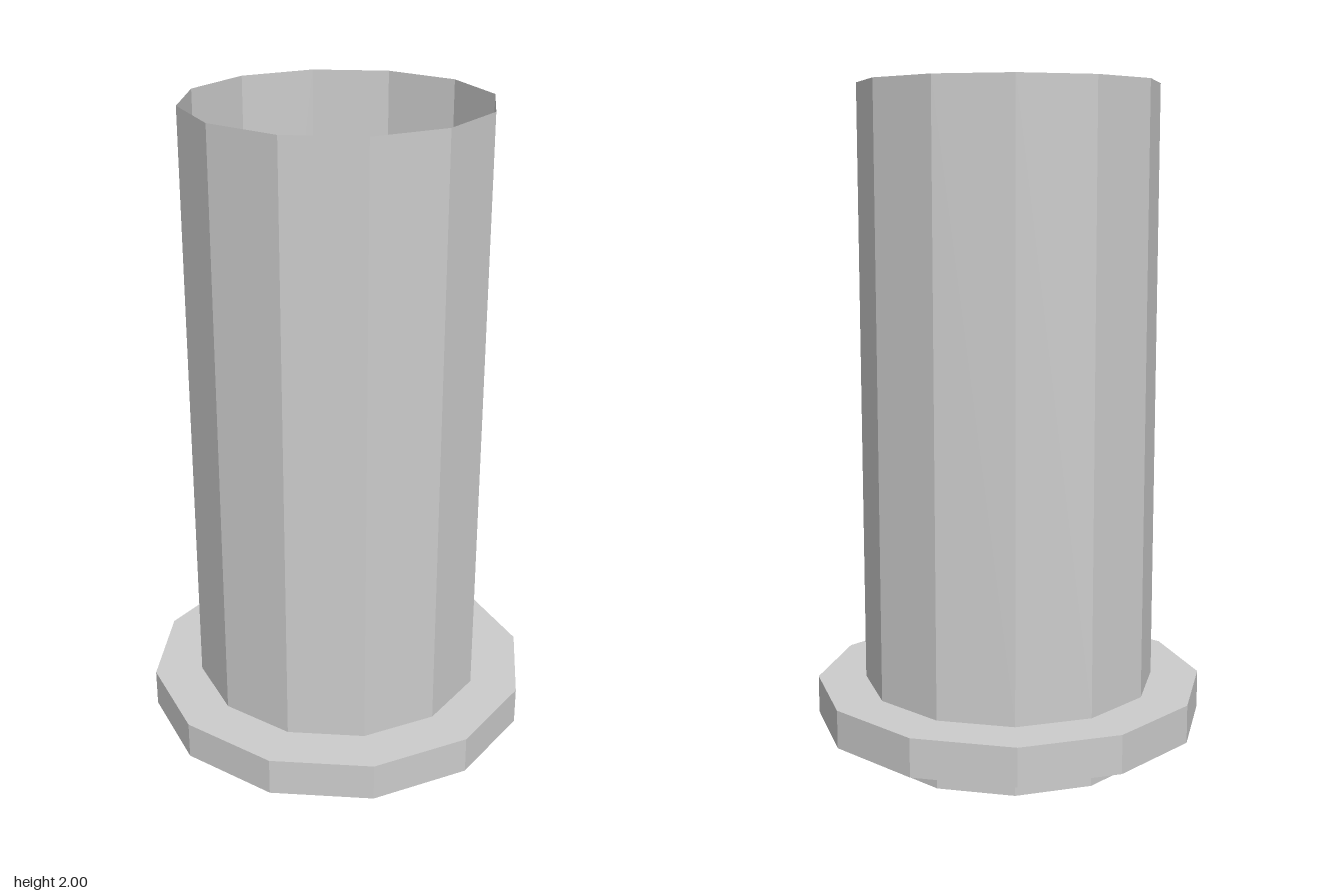
import * as THREE from 'three';

const SIDES = 12;
const TUBE_R = 0.443, FLANGE_R = 0.59;
const FLANGE_BOTTOM = 0.09, FLANGE_TOP = 0.205, HEIGHT = 2;

const grey = new THREE.MeshStandardMaterial({ color: 0xcccccc, flatShading: true, side: THREE.DoubleSide });
grey.name = 'lightGrey';

// Faceted open shell revolved from a [radius, height] profile
function shell(name, profile) {
  const points = profile.map(([r, y]) => new THREE.Vector2(r, y));
  const geometry = new THREE.LatheGeometry(points, SIDES).toNonIndexed();
  geometry.computeVertexNormals();
  const mesh = new THREE.Mesh(geometry, grey);
  mesh.name = name;
  return mesh;
}

export function createModel() {
  const model = new THREE.Group();
  model.name = 'flangedPipe';

  // Short lip under the flange
  model.add(shell('lowerLip', [[TUBE_R, 0], [TUBE_R, FLANGE_BOTTOM]]));

  // Flange, hollow and open towards the bore
  model.add(shell('flange', [
    [TUBE_R, FLANGE_BOTTOM], [FLANGE_R, FLANGE_BOTTOM],
    [FLANGE_R, FLANGE_TOP], [TUBE_R, FLANGE_TOP],
  ]));

  // Thin-walled pipe, open at the top
  model.add(shell('pipe', [[TUBE_R, FLANGE_TOP], [TUBE_R, HEIGHT]]));

  return model;
}
